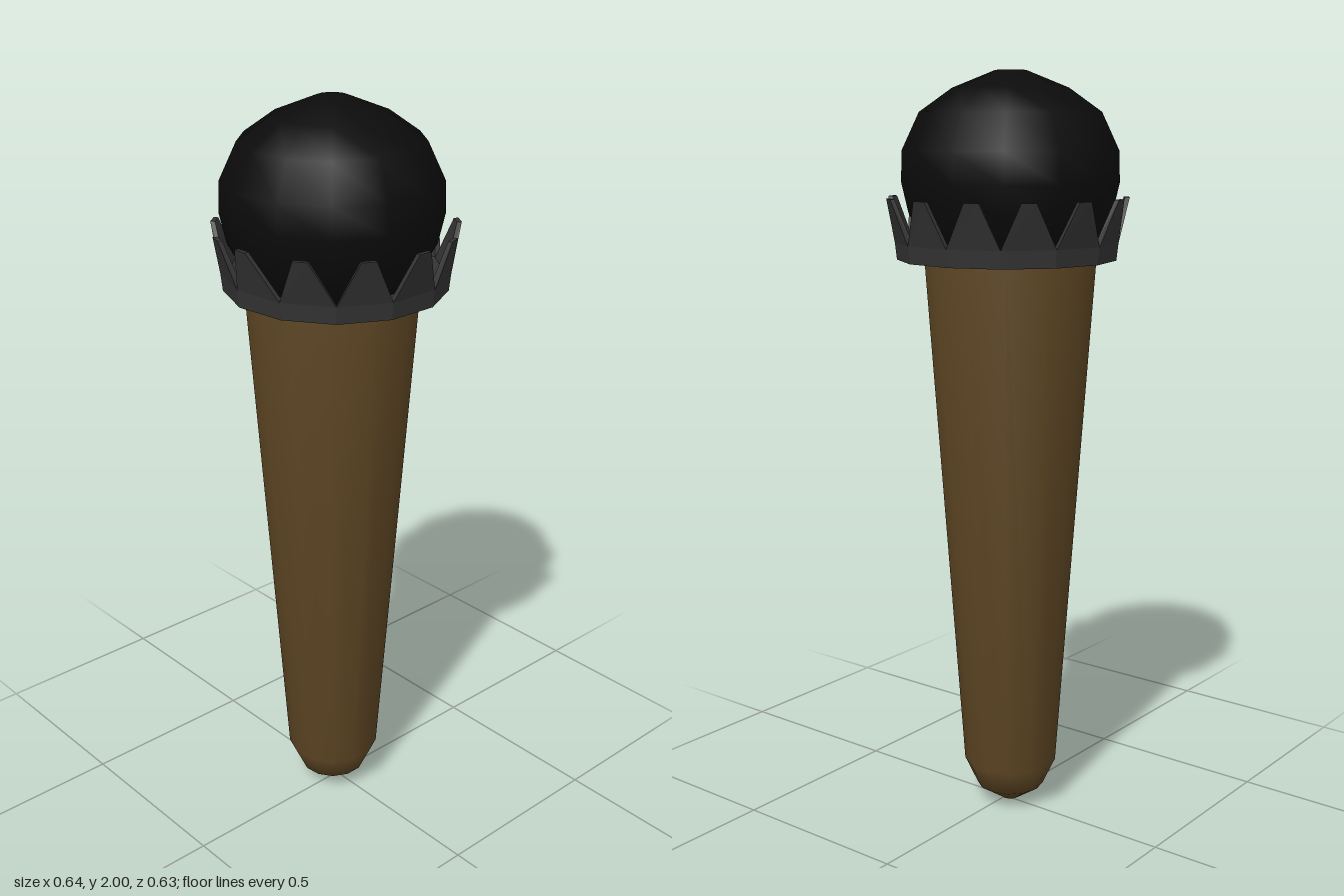
import * as THREE from 'three';

const SIDES = 13;
const STEP = (Math.PI * 2) / SIDES;

// Thirteen-sided turned part with one corner pointing backwards
function turned(name, points, color) {
  const geo = new THREE.LatheGeometry(points.map(([r, y]) => new THREE.Vector2(r, y)), SIDES, Math.PI);
  const mesh = new THREE.Mesh(geo, new THREE.MeshStandardMaterial({ color }));
  mesh.name = name;
  return mesh;
}

// Jagged collar: a thin ring whose facets each rise into a flared, blunt spike
function spikedCollar() {
  // Slight sideways lean of each spike, in radians
  const lean = [0, -0.07, 0.02, 0.03, 0.02, -0.02, -0.02, -0.02, -0.05, 0.03, -0.08, -0.03, 0];
  const pos = [];
  const at = (a, r, y) => [Math.sin(a) * r, y, Math.cos(a) * r];
  const tri = (a, b, c) => pos.push(...a, ...b, ...c);
  const quad = (a, b, c, d) => { tri(a, b, c); tri(a, c, d); };

  for (let i = 0; i < SIDES; i++) {
    const mid = i * STEP, a0 = mid - STEP / 2, a1 = mid + STEP / 2, tip = mid + lean[i];
    // One wall outline: bottom pair, valley pair, tip pair
    const wall = (rBase, rValley, rTip) => ({
      b0: at(a0, rBase, 1.52), b1: at(a1, rBase, 1.52),
      v0: at(a0, rValley, 1.565), v1: at(a1, rValley, 1.565),
      t0: at(tip - 0.06, rTip, 1.68), t1: at(tip + 0.06, rTip, 1.68),
    });
    const o = wall(0.287, 0.292, 0.318), n = wall(0.2, 0.276, 0.306);
    // Outer face
    quad(o.b0, o.b1, o.v1, o.v0);
    quad(o.v0, o.v1, o.t1, o.t0);
    // Inner face
    quad(n.b1, n.b0, n.v0, n.v1);
    quad(n.v1, n.v0, n.t0, n.t1);
    // Spike edges, blunt tip and underside
    quad(o.t0, n.t0, n.v0, o.v0);
    quad(o.t1, o.v1, n.v1, n.t1);
    quad(o.t0, o.t1, n.t1, n.t0);
    quad(o.b1, o.b0, n.b0, n.b1);
  }
  const geo = new THREE.BufferGeometry();
  geo.setAttribute('position', new THREE.Float32BufferAttribute(pos, 3));
  geo.computeVertexNormals();
  const mesh = new THREE.Mesh(geo, new THREE.MeshStandardMaterial({
    color: 0x333333, flatShading: true, side: THREE.DoubleSide,
  }));
  mesh.name = 'spikedCollar';
  return mesh;
}

export function createModel() {
  const group = new THREE.Group();
  group.name = 'model';

  // Tapered grip with a rounded foot
  const handle = turned('handle',
    [[0, 0], [0.025, 0.005], [0.092, 0.05], [0.127, 0.125], [0.226, 1.53], [0, 1.53]], 0x5a4322);

  // Round head
  const head = turned('head',
    [[0, 1.5], [0.14, 1.5], [0.22, 1.56], [0.265, 1.64], [0.283, 1.72], [0.28, 1.8],
      [0.235, 1.895], [0.15, 1.955], [0.04, 1.999], [0, 2]], 0x0b0b0b);

  for (const part of [handle, head]) part.position.set(-0.005, 0, -0.013);
  const collar = spikedCollar();
  collar.position.set(-0.002, 0, -0.003);

  group.add(handle, head, collar);
  return group;
}
